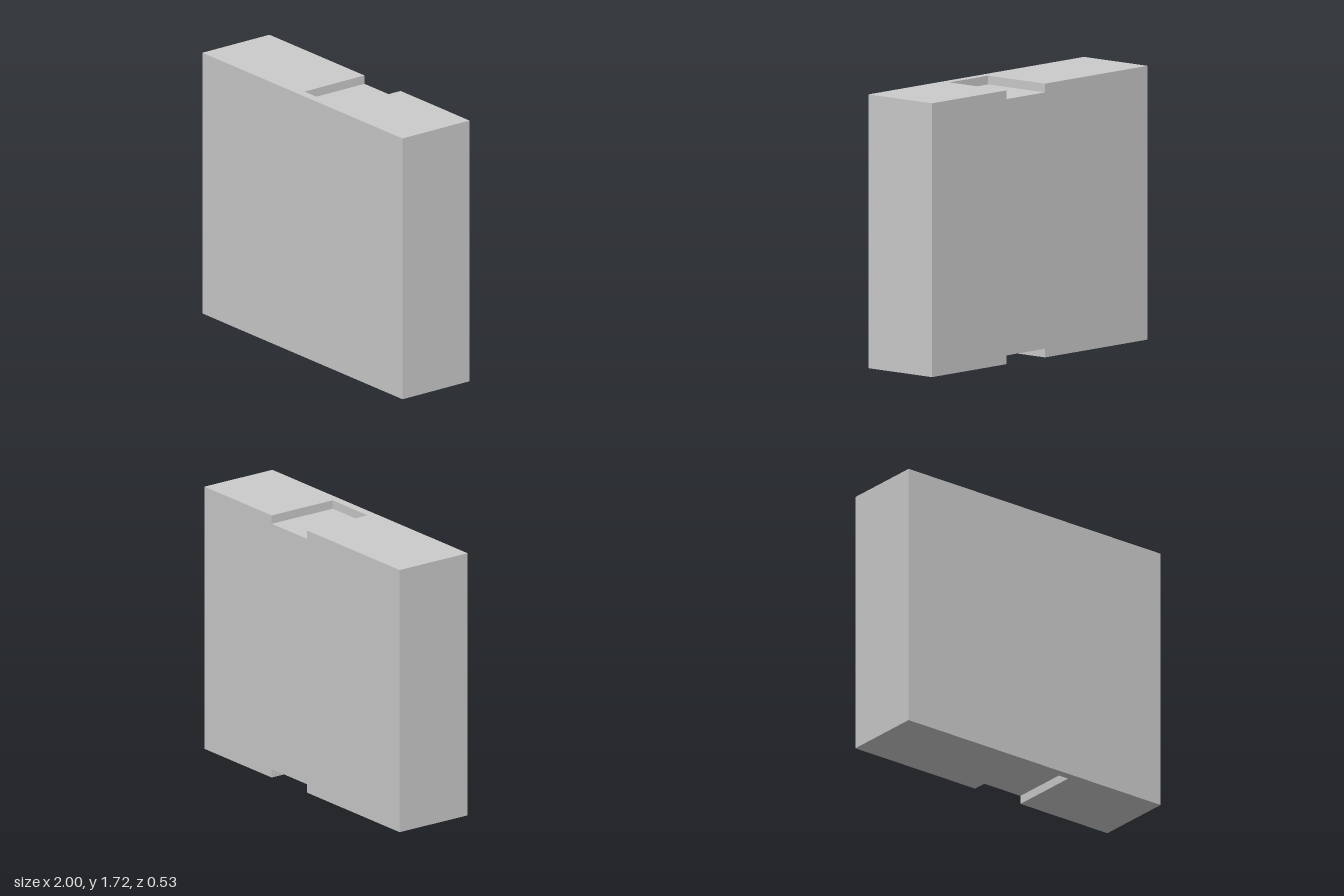
import * as THREE from 'three';
import { mergeGeometries } from 'three/addons/utils/BufferGeometryUtils.js';

const W = 1, H = 1.72, D = 0.265;                 // half width, height, half depth
const X0 = -0.05, X1 = 0.31, Z1 = 0.21, CUT = 0.055; // recess span, front wall and depth

// Flat polygon at a fixed value on one axis (0 x, 1 y, 2 z), facing along sign.
// The outline runs over the two other axes in x, y, z order.
function face(axis, value, sign, outline) {
  const pts = outline.map(([a, b]) => new THREE.Vector2(a, b));
  if (THREE.ShapeUtils.isClockWise(pts)) pts.reverse();
  const facing = axis === 1 ? -1 : 1;
  const positions = [];
  for (const tri of THREE.ShapeUtils.triangulateShape(pts, [])) {
    if (facing !== sign) tri.reverse();
    for (const i of tri) {
      const p = [pts[i].x, pts[i].y];
      p.splice(axis, 0, value);
      positions.push(...p);
    }
  }
  const g = new THREE.BufferGeometry();
  g.setAttribute('position', new THREE.Float32BufferAttribute(positions, 3));
  g.computeVertexNormals();
  return g;
}

const rect = (a0, b0, a1, b1) => [[a0, b0], [a1, b0], [a1, b1], [a0, b1]];

export function createModel() {
  const group = new THREE.Group();
  const material = new THREE.MeshStandardMaterial({ color: 0xcccccc, flatShading: true });
  const add = (name, faces) => {
    const mesh = new THREE.Mesh(mergeGeometries(faces), material);
    mesh.name = name;
    group.add(mesh);
  };

  // Outline of the top and bottom, open at the back where the recess runs out
  const endOutline = [[-W, -D], [X0, -D], [X0, Z1], [X1, Z1], [X1, -D], [W, -D], [W, D], [-W, D]];
  // Back outline, notched at top and bottom
  const backOutline = [
    [-W, 0], [X0, 0], [X0, CUT], [X1, CUT], [X1, 0], [W, 0],
    [W, H], [X1, H], [X1, H - CUT], [X0, H - CUT], [X0, H], [-W, H],
  ];

  add('block', [
    face(2, D, 1, rect(-W, 0, W, H)),
    face(2, -D, -1, backOutline),
    face(0, W, 1, rect(0, -D, H, D)),
    face(0, -W, -1, rect(0, -D, H, D)),
    face(1, H, 1, endOutline),
    face(1, 0, -1, endOutline),
  ]);

  // Matching shallow recesses in the top and bottom
  for (const [name, edge, sign] of [['topRecess', H, 1], ['bottomRecess', 0, -1]]) {
    const floor = edge - sign * CUT;
    add(name, [
      face(1, floor, sign, rect(X0, -D, X1, Z1)),
      face(0, X0, 1, rect(floor, -D, edge, Z1)),
      face(0, X1, -1, rect(floor, -D, edge, Z1)),
      face(2, Z1, -1, rect(X0, floor, X1, edge)),
    ]);
  }
  return group;
}
